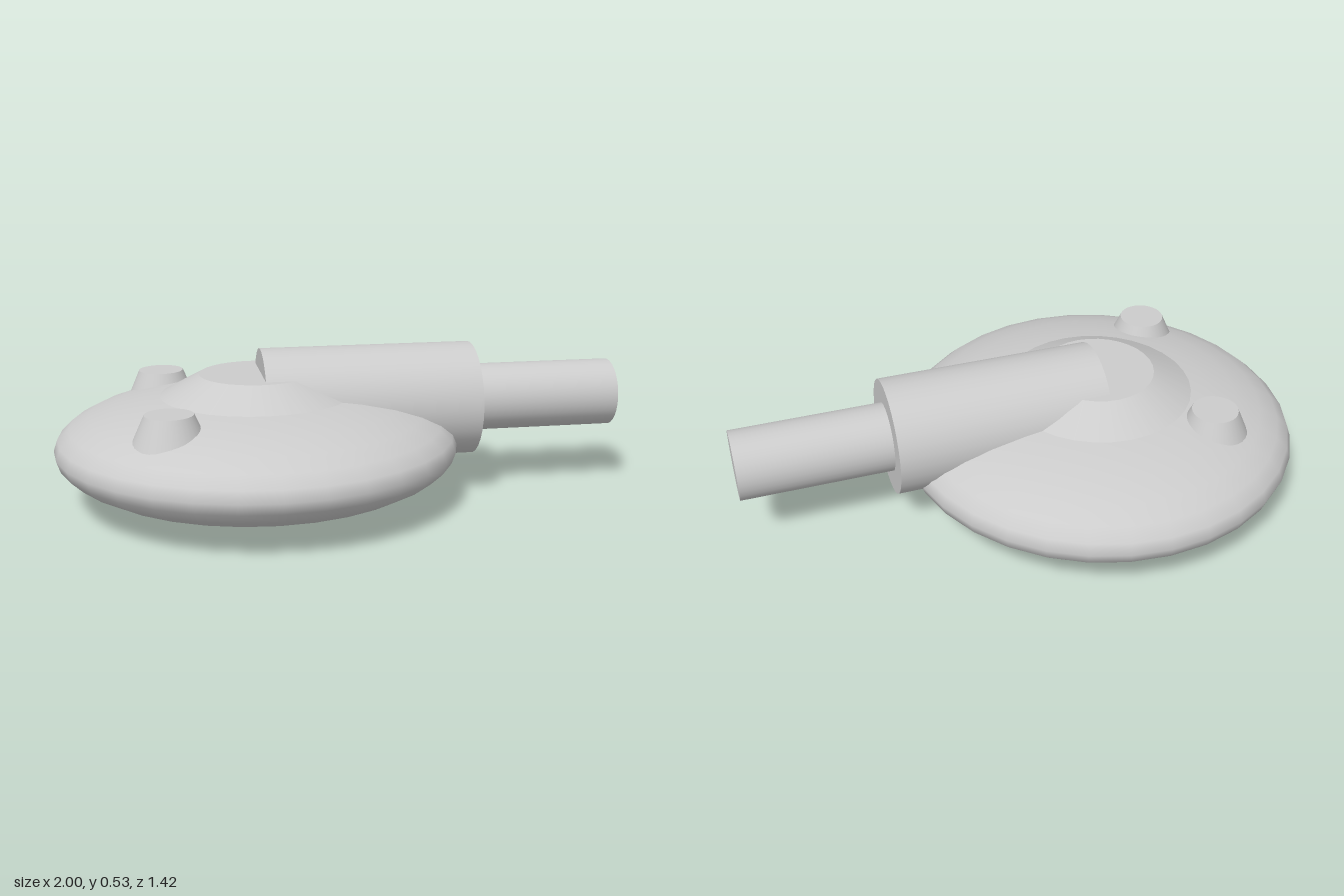
import * as THREE from 'three';

export function createModel() {
  const group = new THREE.Group();
  const material = new THREE.MeshStandardMaterial({ color: 0xcccccc });

  function add(name, geometry, x, y, z) {
    const mesh = new THREE.Mesh(geometry, material);
    mesh.name = name;
    mesh.position.set(x, y, z);
    group.add(mesh);
    return mesh;
  }

  // Truncated cone with its top face at the given height
  const frustum = (name, rTop, rBottom, top, bottom, x, z) =>
    add(name, new THREE.CylinderGeometry(rTop, rBottom, top - bottom, 32), x, (top + bottom) / 2, z);

  // Cylinder lying along x
  const tube = (name, radius, x0, x1) =>
    add(name, new THREE.CylinderGeometry(radius, radius, x1 - x0, 32).rotateZ(-Math.PI / 2), (x0 + x1) / 2, 0.33, 0);

  // Flattened round body
  const cx = -0.295;
  add('body', new THREE.SphereGeometry(1, 32, 16).scale(0.705, 0.201, 0.708), cx, 0.201, 0);

  // Raised centre plate, running down into the body
  frustum('topPlate', 0.2, 0.404, 0.45, 0.34, cx, 0);

  // Stepped barrel
  tube('barrelSleeve', 0.202, -0.28, 0.475);
  tube('barrel', 0.12, 0.4, 1);

  // Two hatches near the rear rim
  frustum('leftHatch', 0.08, 0.127, 0.403, 0.3, -0.615, 0.355);
  frustum('rightHatch', 0.08, 0.127, 0.408, 0.3, -0.615, -0.302);

  return group;
}
